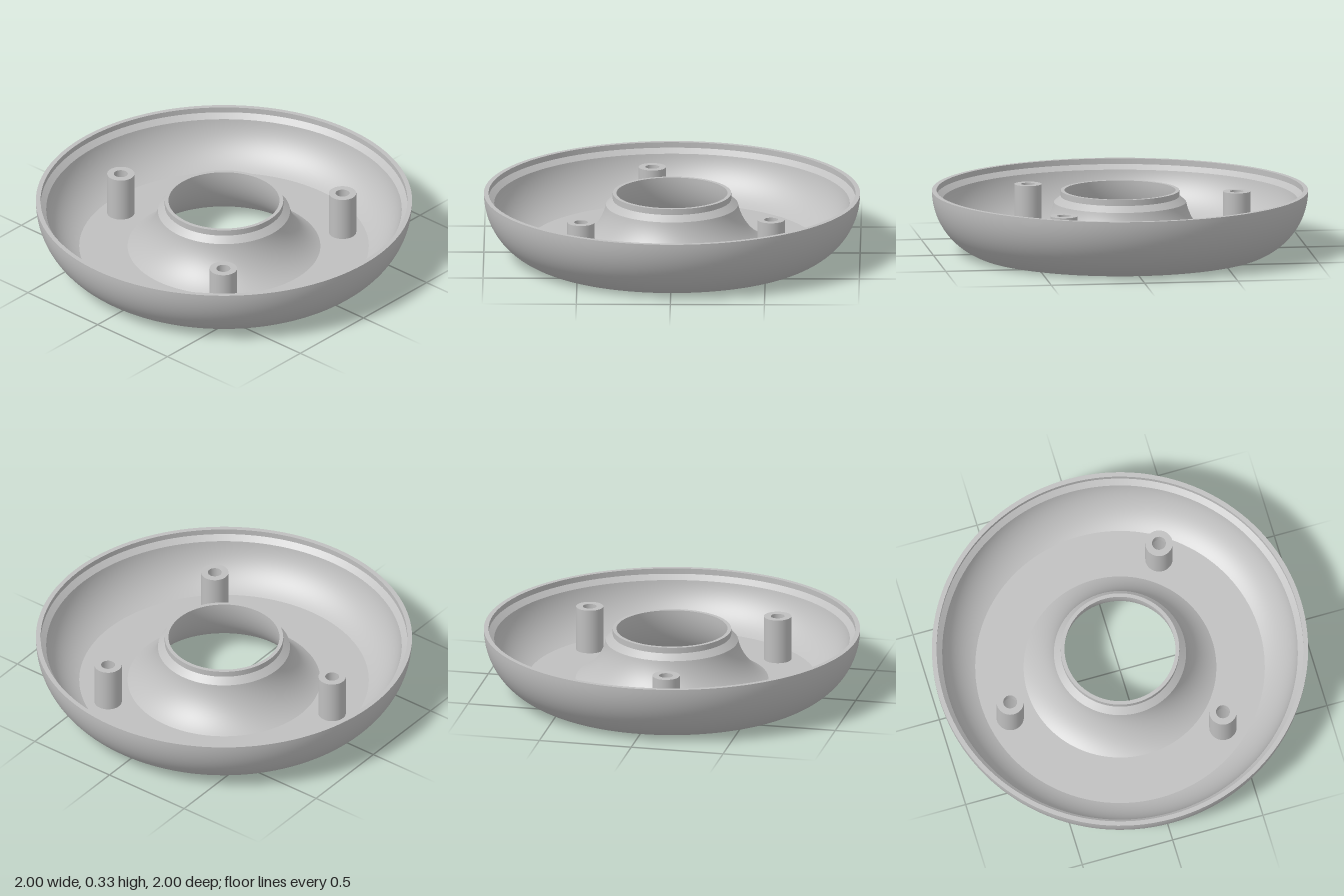
import * as THREE from 'three';
import { mergeGeometries } from 'three/addons/utils/BufferGeometryUtils.js';

const grey = new THREE.MeshStandardMaterial({ color: 0xbfbfbf });
grey.name = 'plain grey';

const H = 0.33;          // overall height
const FLOOR = 0.05;      // floor thickness
const POSTS = [[-0.11, -0.64], [0.53, 0.37], [-0.48, 0.43]];
const BORE = 0.063;      // wide screw recess under each post

// Points on a circle centred at (cx, H), measured at a list of heights y0..y1
function arc(cx, r, side, y0, y1, n = 24) {
  const a0 = Math.asin((y0 - H) / r), a1 = Math.asin((y1 - H) / r);
  return Array.from({ length: n + 1 }, (_, i) => {
    const a = a0 + (a1 - a0) * i / n;
    return [cx + side * r * Math.cos(a), H + r * Math.sin(a)];
  });
}

// Each band is smooth in itself, with a sharp edge to the next one
function turned(name, bands, segments) {
  const parts = bands.map(b =>
    new THREE.LatheGeometry(b.map(p => new THREE.Vector2(p[0], p[1])), segments));
  const mesh = new THREE.Mesh(mergeGeometries(parts), grey);
  mesh.name = name;
  return mesh;
}

// Splits a polyline into straight bands
const straight = pts => pts.slice(1).map((p, i) => [pts[i], p]);

// Flat ring with a round hole at every post, facing up or down
function floorFace(name, rIn, rOut, y, up) {
  const s = up ? -1 : 1;
  const shape = new THREE.Shape().absarc(0, 0, rOut, 0, Math.PI * 2);
  shape.holes.push(new THREE.Path().absarc(0, 0, rIn, 0, Math.PI * 2, true));
  for (const [x, z] of POSTS)
    shape.holes.push(new THREE.Path().absarc(x, s * z, BORE, 0, Math.PI * 2, true));
  const mesh = new THREE.Mesh(new THREE.ShapeGeometry(shape, 64).rotateX(s * Math.PI / 2), grey);
  mesh.name = name;
  mesh.position.y = y;
  return mesh;
}

export function createModel() {
  const group = new THREE.Group();
  group.name = 'roundCover';

  // Bowl wall: rounded outside, stepped rim, rounded inside
  const bowlIn = arc(0.6425, 0.3075, 1, 0.275, FLOOR);
  group.add(turned('bowlWall', [
    arc(0.6425, 0.3575, 1, 0, H),
    ...straight([[1, H], [0.975, H], [0.975, 0.3], bowlIn[0]]),
    bowlIn,
  ], 128));

  // Central funnel: flared neck with the same step at its top
  const neckOut = arc(0.663, 0.318, -1, FLOOR, 0.267);
  group.add(turned('centralFunnel', [
    neckOut,
    ...straight([neckOut[24], [0.315, 0.298], [0.315, H], [0.295, H]]),
    arc(0.663, 0.368, -1, H, 0),
  ], 128));

  // Flat floor between bowl and funnel
  group.add(floorFace('floorTop', neckOut[0][0], bowlIn[24][0], FLOOR, true));
  group.add(floorFace('floorUnderside', 0.5, 0.78, 0, false));

  // Hollow screw posts, recessed from below
  for (const [x, z] of POSTS) {
    const post = turned('screwPost', straight([
      [0.073, FLOOR], [0.073, 0.29], [0.037, 0.29], [0.037, 0.24], [BORE, 0.24], [BORE, 0],
    ]), 40);
    post.position.set(x, 0, z);
    group.add(post);
  }
  return group;
}
